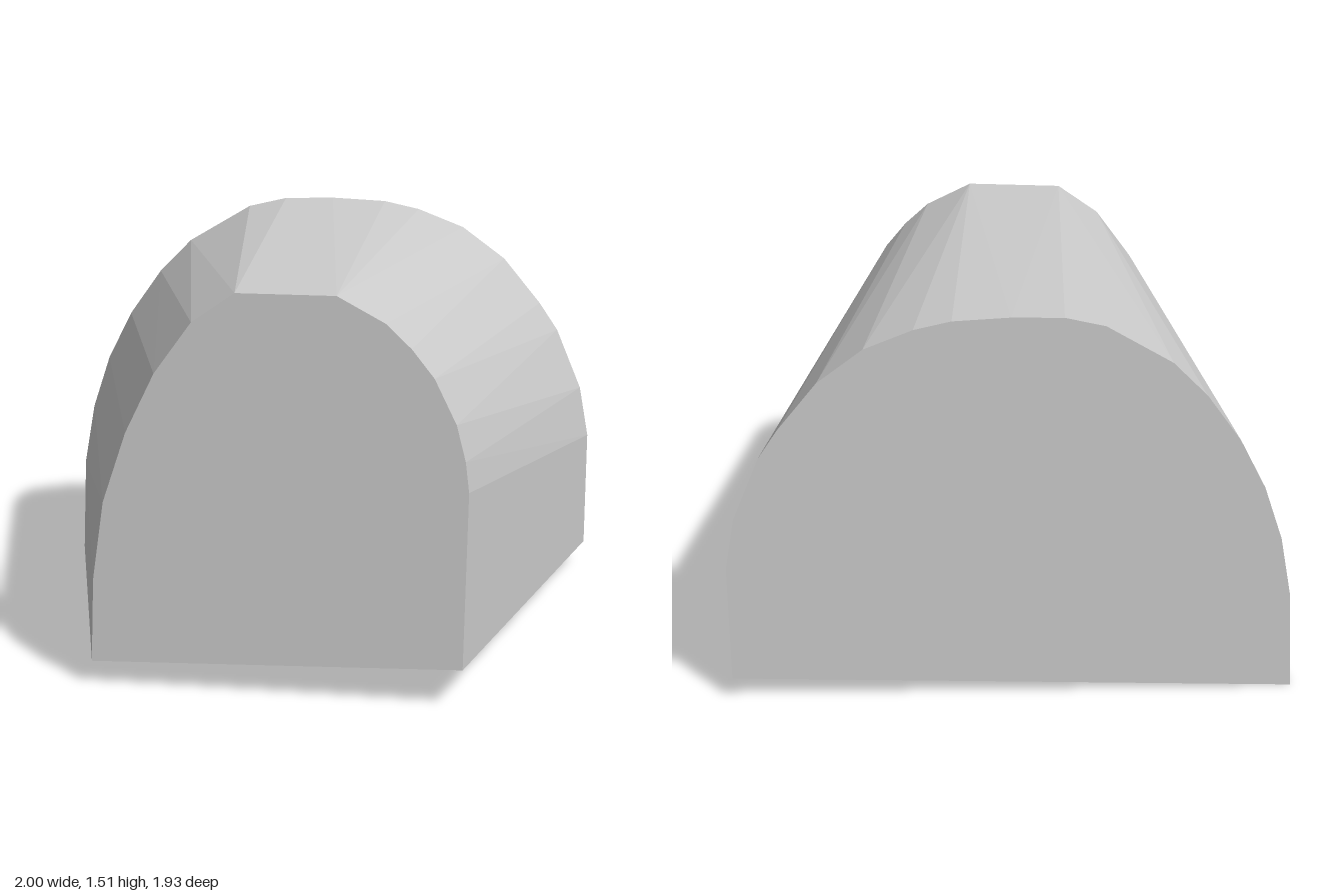
import * as THREE from 'three';
import { ConvexGeometry } from 'three/addons/geometries/ConvexGeometry.js';

// Outlines of the two end faces as (x, y), from the right foot over the arch to the left foot
const frontOutline = [
  [-0.32, 0.09], [-0.315, 0.4], [-0.28, 0.69], [-0.2, 0.95], [-0.1, 1.17], [0.03, 1.36], [0.18, 1.47],
  [0.53, 1.475], [0.7, 1.385], [0.79, 1.3], [0.87, 1.2], [0.95, 1.04], [0.985, 0.91], [1, 0.8], [1, 0.15],
];
const backOutline = [
  [-1, 0], [-0.985, 0.38], [-0.945, 0.62], [-0.88, 0.83], [-0.79, 1.02], [-0.67, 1.2], [-0.55, 1.33],
  [-0.32, 1.475], [-0.18, 1.51], [0, 1.515], [0.2, 1.505], [0.33, 1.475], [0.5, 1.405], [0.66, 1.28],
  [0.8, 1.1], [0.87, 0.99], [0.965, 0.75], [1, 0.55], [1, 0.09],
];

// Planes in which the slanted end faces lie
const frontZ = (x, y) => 0.899 - 0.2026 * x - 0.0425 * y;
const backZ = (x, y) => -0.675 - 0.295 * x + 0.01 * y;

export function createModel() {
  const group = new THREE.Group();
  group.name = 'archedBlock';

  const stone = new THREE.MeshStandardMaterial({ color: 0xcccccc });
  stone.name = 'lightGrey';

  // Faceted tapering body stretched between the two end faces
  const place = (outline, zAt) => outline.map(([x, y]) => new THREE.Vector3(x, y, zAt(x, y)));
  const geometry = new ConvexGeometry([...place(frontOutline, frontZ), ...place(backOutline, backZ)]);
  const body = new THREE.Mesh(geometry, stone);
  body.name = 'body';
  group.add(body);
  return group;
}
